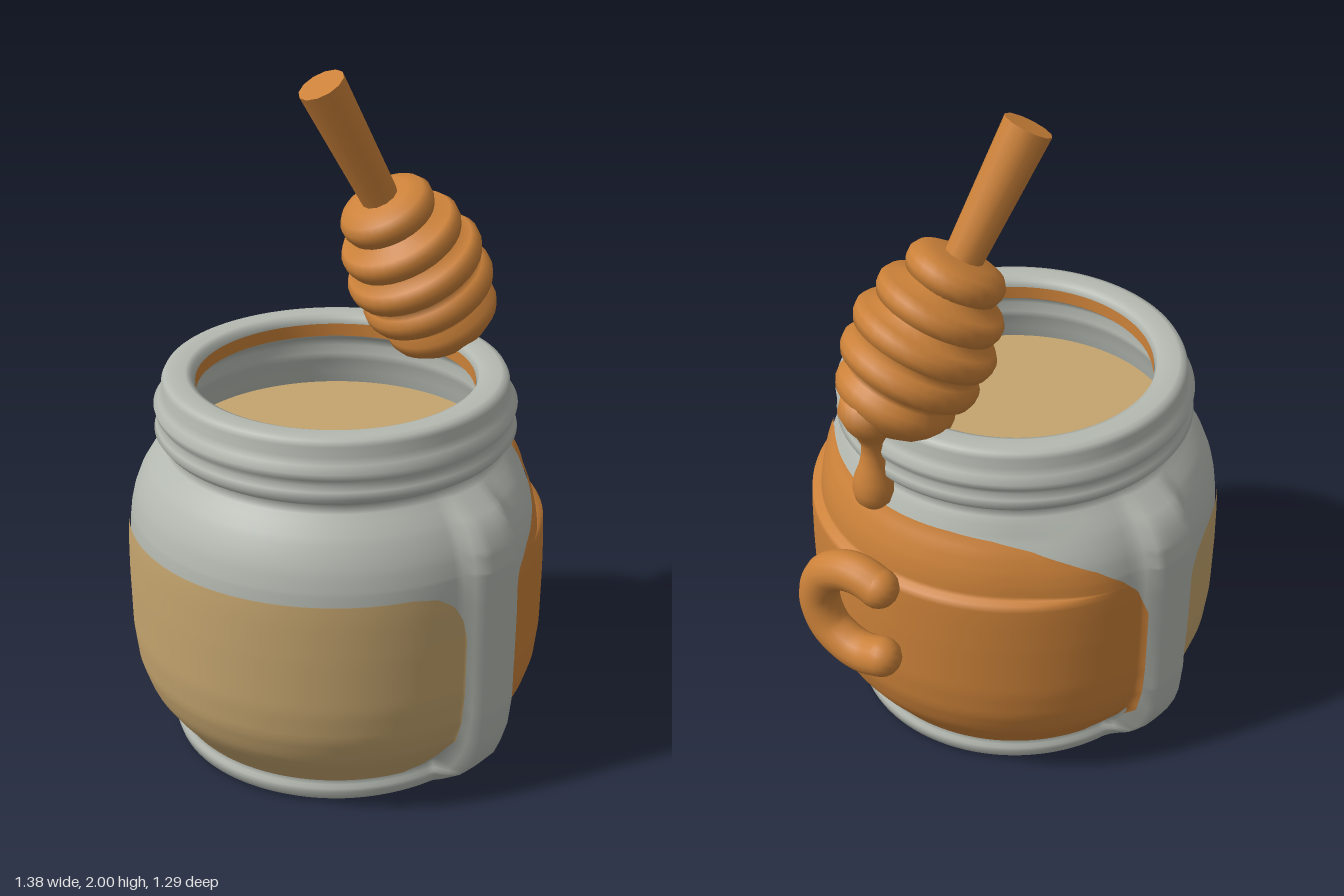
import * as THREE from 'three';
import { mergeVertices } from 'three/addons/utils/BufferGeometryUtils.js';

const mat = (name, color) => {
  const m = new THREE.MeshStandardMaterial({ color });
  m.name = name;
  return m;
};
const smooth = THREE.MathUtils.smoothstep;
const lerp = THREE.MathUtils.lerp;

// Linear lookup in a table of [key, value] pairs
function look(table, k) {
  for (let i = 1; i < table.length; i++) {
    const [k0, v0] = table[i - 1], [k1, v1] = table[i];
    if (k <= k1) return lerp(v0, v1, Math.max(0, (k - k0) / (k1 - k0)));
  }
  return table[table.length - 1][1];
}

// Outer jar profile [y, radius], and the fuller profile of the front and back ribs
const PROFILE = [[0, 0.47], [0.015, 0.49], [0.04, 0.498], [0.062, 0.49], [0.078, 0.482], [0.1, 0.5],
  [0.15, 0.54], [0.2, 0.573], [0.28, 0.6], [0.38, 0.612], [0.55, 0.615], [0.66, 0.614], [0.71, 0.612],
  [0.76, 0.606], [0.8, 0.597], [0.85, 0.578], [0.9, 0.548], [0.95, 0.505], [0.97, 0.49]];
const RIB = [[0, 0.47], [0.015, 0.51], [0.05, 0.558], [0.1, 0.6], [0.15, 0.622], [0.2, 0.635], [0.3, 0.645],
  [0.75, 0.645], [0.82, 0.633], [0.88, 0.6], [0.93, 0.54], [0.97, 0.49]];
// Neck ridges, rim and inner wall [radius, y]
const NECK = [[0.515, 0.985], [0.53, 1.005], [0.525, 1.025], [0.512, 1.04], [0.525, 1.06], [0.53, 1.08],
  [0.515, 1.1], [0.505, 1.12], [0.505, 1.15], [0.497, 1.165], [0.48, 1.17], [0.435, 1.17], [0.417, 1.162],
  [0.41, 1.14], [0.412, 1.1], [0.45, 1.08], [0.47, 1.05], [0.45, 1.03], [0.465, 1.0], [0.47, 0.96], [0.485, 0.9]];

// Jar radius at a height and an angle away from +x
function jarRadius(y, phi) {
  const lateral = Math.abs(0.612 * Math.cos(phi) + 0.02);
  const rib = 1 - smooth(lateral, 0.06, 0.12);
  return lerp(look(PROFILE, y), Math.max(look(RIB, y), look(PROFILE, y)), rib);
}
// Recess of the shoulder above the side window
const recess = (phi) => 0.026 * (1 - smooth(Math.abs(phi) * 180 / Math.PI, 45, 74));

function smoothLathe(points, segments) {
  let g = new THREE.LatheGeometry(points.map(([r, y]) => new THREE.Vector2(r, y)), segments);
  g.deleteAttribute('uv');
  g.deleteAttribute('normal');
  g = mergeVertices(g, 1e-5);
  g.computeVertexNormals();
  return g;
}

function jarGeometry() {
  const ys = [...new Set([...PROFILE, ...RIB].map((p) => p[0]))].sort((a, b) => a - b);
  const points = [...ys.map((y) => [look(PROFILE, y), y]), ...NECK];
  let g = new THREE.LatheGeometry(points.map(([r, y]) => new THREE.Vector2(r, y)), 144);
  const p = g.attributes.position;
  for (let i = 0; i < p.count; i++) {
    if (i % points.length >= ys.length) continue;
    const y = p.getY(i), phi = Math.atan2(p.getZ(i), p.getX(i));
    const fade = smooth(y, 0.66, 0.71) * (1 - smooth(y, 0.88, 0.96));
    const r = jarRadius(y, phi) - recess(phi) * fade;
    p.setXYZ(i, r * Math.cos(phi), y, r * Math.sin(phi));
  }
  g.deleteAttribute('uv');
  g.deleteAttribute('normal');
  g = mergeVertices(g, 1e-5);
  g.computeVertexNormals();
  return g;
}

// Curved window skin; top and bottom are heights by degrees from its centre
function windowGeometry(centre, half, top, bottom) {
  const cols = 72, low = 28, high = 12, rows = low + high + 2, pos = [], index = [];
  for (let i = 0; i <= cols; i++) {
    const d = half * Math.sin((i / cols - 0.5) * Math.PI);
    const phi = (centre + d) * Math.PI / 180;
    const y0 = look(bottom, Math.abs(d)), y2 = look(top, Math.abs(d)), y1 = Math.min(0.72, y2);
    for (let j = 0; j < rows; j++) {
      const upper = j > low;
      const y = upper ? lerp(y1, y2, (j - low - 1) / high) : lerp(y0, y1, j / low);
      const fade = upper ? 1 - smooth(y, 0.88, 0.96) : 0;
      const r = jarRadius(y, phi) + 0.006 - recess(phi) * fade;
      pos.push(r * Math.cos(phi), y, -r * Math.sin(phi));
      if (i < cols && j < rows - 1) {
        const a = i * rows + j, b = a + rows;
        index.push(a, b, a + 1, b + 1, a + 1, b);
      }
    }
  }
  const g = new THREE.BufferGeometry();
  g.setAttribute('position', new THREE.Float32BufferAttribute(pos, 3));
  g.setIndex(index);
  g.computeVertexNormals();
  return g;
}

export function createModel() {
  const glass = mat('pale grey', 0xb4b9b1);
  const honey = mat('honey orange', 0xcb8139);
  const cream = mat('cream tan', 0xc4a46e);
  const root = new THREE.Group();
  root.name = 'honeyJarWithDipper';
  const add = (parent, name, geometry, material) => {
    const m = new THREE.Mesh(geometry, material);
    m.name = name;
    parent.add(m);
    return m;
  };

  // Jar with its windows and contents
  const jar = new THREE.Group();
  jar.name = 'jar';
  jar.position.x = -0.075;
  root.add(jar);
  add(jar, 'jarShell', jarGeometry(), glass);
  add(jar, 'honeyWindow', windowGeometry(0, 83,
    [[0, 0.9], [25, 0.898], [38, 0.888], [50, 0.865], [60, 0.83], [68, 0.795], [75, 0.745], [80, 0.69], [83, 0.6]],
    [[0, 0.076], [72, 0.076], [77, 0.09], [81, 0.125], [83, 0.19]]), honey);
  add(jar, 'creamWindow', windowGeometry(180, 78,
    [[0, 0.722], [62, 0.722], [69, 0.71], [74, 0.675], [77, 0.62], [78, 0.56]],
    [[0, 0.076], [66, 0.076], [72, 0.095], [76, 0.14], [78, 0.2]]), cream);
  add(jar, 'jarBottom', new THREE.CircleGeometry(0.471, 72).rotateX(Math.PI / 2), cream);
  add(jar, 'fillSurface', new THREE.CircleGeometry(0.49, 72).rotateX(-Math.PI / 2), cream).position.y = 0.92;
  // Honey line just inside the rim
  add(jar, 'innerRimBand', smoothLathe([[0.407, 1.145], [0.407, 1.105]], 72), honey);

  // Dipper, leaning on the rim
  const dipper = new THREE.Group();
  dipper.name = 'dipper';
  dipper.position.set(0.38, 1.2, 0.03);
  dipper.quaternion.setFromUnitVectors(new THREE.Vector3(0, 1, 0),
    new THREE.Vector3(-0.39, 0.78, -0.145).normalize());
  root.add(dipper);
  const head = [[0, -0.085], [0.08, -0.075], [0.135, -0.045]];
  [0.178, 0.207, 0.213, 0.188, 0.145].forEach((r, i) => {
    const t = 0.02 + i * 0.1;
    if (i) head.push([r - 0.045, t - 0.048]);
    head.push([r - 0.01, t - 0.034], [r, t - 0.01], [r, t + 0.015], [r - 0.015, t + 0.037]);
  });
  head.push([0.09, 0.472], [0, 0.478]);
  add(dipper, 'dipperHead', smoothLathe(head, 32), honey);
  const handle = add(dipper, 'dipperHandle', new THREE.CylinderGeometry(0.071, 0.055, 0.435, 12), honey);
  handle.position.y = 0.6575;

  // Honey drip running down from the dipper
  const drip = add(root, 'honeyDrip', smoothLathe([[0, 0.885], [0.035, 0.89], [0.053, 0.91], [0.061, 0.945],
    [0.055, 0.985], [0.04, 1.025], [0.031, 1.065], [0.031, 1.1], [0.045, 1.13], [0.072, 1.165],
    [0.092, 1.21], [0.08, 1.26], [0, 1.28]], 24), honey);
  drip.position.set(0.462, 0, 0.03);

  // Curled hook on the side, with rounded ends
  const path = [[-0.115, 0.728], [-0.06, 0.743], [0, 0.738], [0.07, 0.695], [0.103, 0.6],
    [0.07, 0.505], [0, 0.46], [-0.06, 0.453], [-0.115, 0.468]]
    .map(([z, y]) => new THREE.Vector3(0.605 + z * 0.2, y, z));
  const hook = new THREE.Group();
  hook.name = 'sideHook';
  root.add(hook);
  add(hook, 'hookCurve', new THREE.TubeGeometry(new THREE.CatmullRomCurve3(path), 48, 0.06, 16), honey);
  for (const end of [path[0], path[path.length - 1]]) {
    add(hook, 'hookEnd', new THREE.SphereGeometry(0.06, 16, 12), honey).position.copy(end);
  }
  return root;
}
